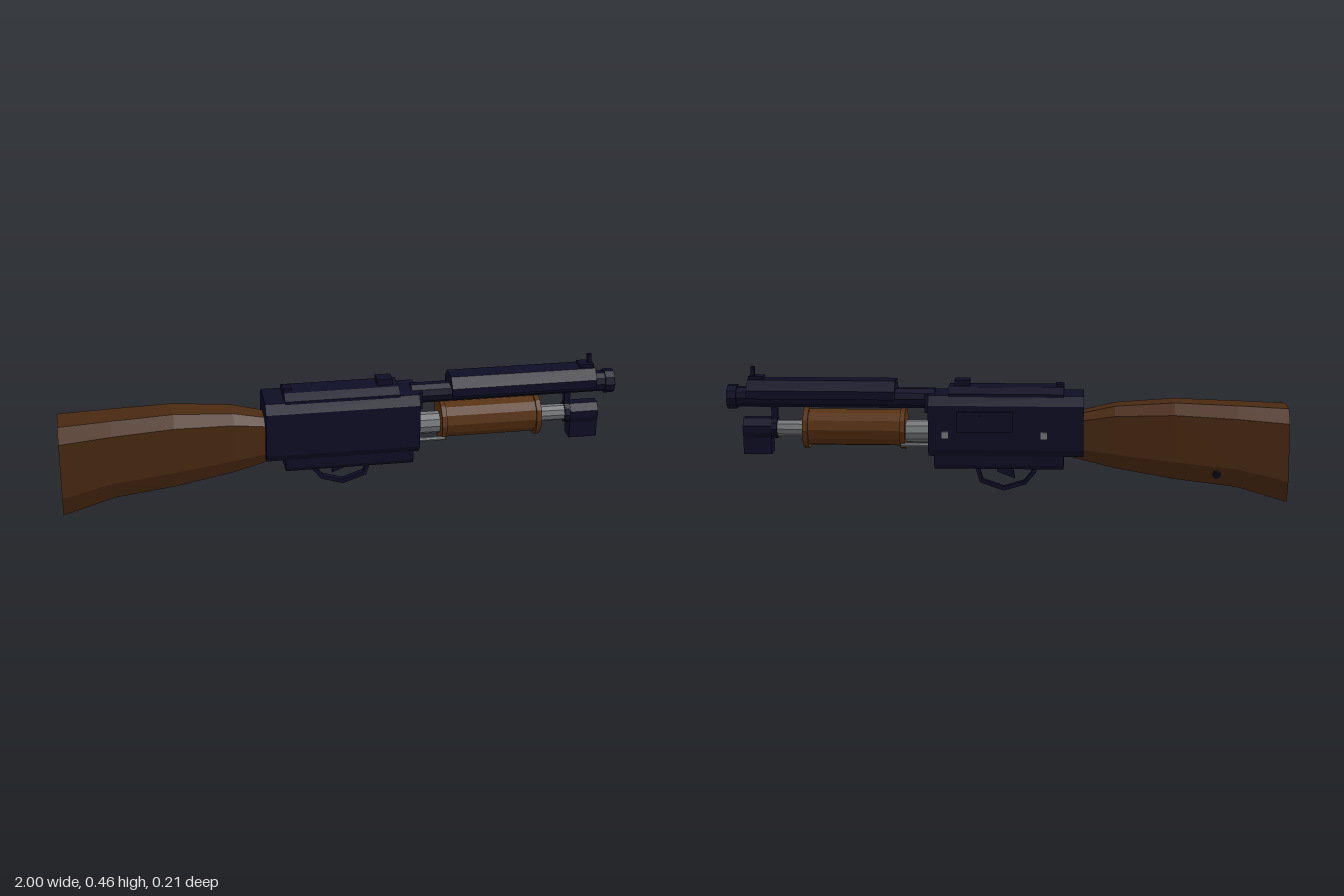
import * as THREE from 'three';

const mat = (name, color) => {
  const m = new THREE.MeshStandardMaterial({ color, flatShading: true });
  m.name = name;
  return m;
};

export function createModel() {
  const group = new THREE.Group();
  const gunmetal = mat('dark gunmetal', 0x0e0e26);
  const walnut = mat('stock wood', 0x4a2a12);
  const pumpWood = mat('pump wood', 0x583212);
  const steel = mat('steel', 0x777a7c);
  const orange = mat('orange tip', 0xf0682c);

  const add = (name, geometry, material) => {
    const mesh = new THREE.Mesh(geometry, material);
    mesh.name = name;
    group.add(mesh);
    return mesh;
  };
  // Box given by its limits on each axis
  const box = (name, m, x0, x1, y0, y1, z0, z1) =>
    add(name, new THREE.BoxGeometry(x1 - x0, y1 - y0, z1 - z0)
      .translate((x0 + x1) / 2, (y0 + y1) / 2, (z0 + z1) / 2), m);
  // Round bar lying along x
  const bar = (name, m, x0, x1, y, r, sides = 10, z = 0) =>
    add(name, new THREE.CylinderGeometry(r, r, x1 - x0, sides)
      .rotateZ(-Math.PI / 2).translate((x0 + x1) / 2, y, z), m);
  // Symmetric prism along x from the half outline [z, y], top to bottom
  const prism = (name, m, x0, x1, half) => {
    const mirrored = half.map(([z, y]) => [-z, y]).reverse();
    const shape = new THREE.Shape([...half, ...mirrored].map(p => new THREE.Vector2(...p)));
    const geo = new THREE.ExtrudeGeometry(shape, { depth: x1 - x0, bevelEnabled: false });
    return add(name, geo.rotateY(Math.PI / 2).translate(x0, 0, 0), m);
  };
  // Loft of rings whose corners run from +y towards +z
  const loft = (rings) => {
    const out = [], n = rings[0].length, last = rings.length - 1;
    const tri = (a, b, c) => out.push(...a, ...b, ...c);
    for (let i = 0; i < last; i++) {
      for (let j = 0; j < n; j++) {
        const k = (j + 1) % n;
        tri(rings[i][j], rings[i][k], rings[i + 1][k]);
        tri(rings[i][j], rings[i + 1][k], rings[i + 1][j]);
      }
    }
    for (let j = 1; j < n - 1; j++) {
      tri(rings[0][0], rings[0][j + 1], rings[0][j]);
      tri(rings[last][0], rings[last][j], rings[last][j + 1]);
    }
    const geo = new THREE.BufferGeometry();
    geo.setAttribute('position', new THREE.Float32BufferAttribute(out, 3));
    geo.computeVertexNormals();
    return geo;
  };

  // Shoulder stock: x, bottom, top, half width
  const sections = [
    [-1, 0, 0.332, 0.105], [-0.82, 0.052, 0.34, 0.098], [-0.6, 0.077, 0.348, 0.089],
    [-0.39, 0.112, 0.333, 0.075], [-0.27, 0.14, 0.305, 0.06], [-0.23, 0.15, 0.295, 0.056],
  ];
  add('stock', loft(sections.map(([x, b, t, w]) => {
    const up = t - (t - b) * 0.14, low = b + (t - b) * 0.24;
    return [[x, t, -0.55 * w], [x, t, 0.55 * w], [x, up, w], [x, low, w],
      [x, b, 0.71 * w], [x, b, -0.71 * w], [x, low, -w], [x, up, -w]];
  })), walnut);
  const stud = add('slingStud', new THREE.CylinderGeometry(0.014, 0.014, 0.012, 8)
    .rotateX(Math.PI / 2), gunmetal);
  stud.position.set(-0.75, 0.1, -0.088);
  stud.rotation.x = -0.4;

  // Receiver
  prism('receiver', gunmetal, -0.28, 0.27,
    [[0.07, 0.372], [0.091, 0.338], [0.091, 0.18], [0.076, 0.155]]);
  prism('receiverTop', gunmetal, -0.21, 0.2,
    [[0.042, 0.398], [0.073, 0.378], [0.073, 0.36]]);
  prism('receiverBase', gunmetal, -0.21, 0.25,
    [[0.075, 0.17], [0.075, 0.122], [0.066, 0.107]]);
  box('barrelCollar', gunmetal, 0.26, 0.285, 0.305, 0.37, -0.05, 0.05);
  box('rearSight', gunmetal, 0.125, 0.18, 0.395, 0.42, -0.025, 0.025);
  box('topCatch', gunmetal, -0.21, -0.18, 0.39, 0.407, -0.02, 0.02);

  // Ejection port and pins on the right side
  box('ejectionPort', gunmetal, -0.03, 0.17, 0.245, 0.318, -0.1, -0.09);
  box('portInset', gunmetal, 0.0, 0.09, 0.258, 0.304, -0.103, -0.095);
  for (const x of [-0.14, 0.21]) box('pin', steel, x - 0.012, x + 0.012, 0.222, 0.246, -0.096, -0.088);

  // Trigger and its guard
  const v = pts => pts.map(p => new THREE.Vector2(...p));
  const guard = new THREE.Shape(v([[-0.112, 0.115], [-0.112, 0.085], [-0.075, 0.04],
    [0.005, 0.015], [0.09, 0.045], [0.112, 0.115]]));
  guard.holes.push(new THREE.Path(v([[-0.097, 0.113], [0.097, 0.113], [0.08, 0.056],
    [0.005, 0.03], [-0.068, 0.052], [-0.097, 0.09]])));
  add('triggerGuard', new THREE.ExtrudeGeometry(guard, { depth: 0.024, bevelEnabled: false })
    .translate(0, 0, -0.012), gunmetal);
  const trigger = new THREE.Shape(v([[-0.025, 0.115], [-0.035, 0.06], [0.03, 0.085], [0.03, 0.115]]));
  add('trigger', new THREE.ExtrudeGeometry(trigger, { depth: 0.016, bevelEnabled: false })
    .translate(0, 0, -0.008), gunmetal);

  // Barrel, muzzle and heat shield
  bar('barrel', gunmetal, 0.25, 0.98, 0.35, 0.037);
  bar('muzzleRing', gunmetal, 0.962, 0.996, 0.35, 0.044);
  bar('muzzleTip', orange, 0.99, 1, 0.35, 0.027);
  prism('heatShield', gunmetal, 0.39, 0.92,
    [[0.035, 0.416], [0.066, 0.382], [0.066, 0.352], [0.056, 0.352], [0.056, 0.378], [0.03, 0.382]]);

  // Front sight
  box('sightBase', gunmetal, 0.865, 0.918, 0.41, 0.427, -0.024, 0.024);
  box('sightPost', gunmetal, 0.898, 0.912, 0.42, 0.459, -0.008, 0.008);

  // Magazine tube with its end cap and barrel bracket
  bar('magazineTube', steel, 0.25, 0.93, 0.237, 0.03);
  bar('magazineSleeve', steel, 0.25, 0.36, 0.23, 0.04);
  prism('magazineCap', gunmetal, 0.838, 0.94,
    [[0.018, 0.275], [0.038, 0.25], [0.038, 0.225], [0.03, 0.205], [0.03, 0.145]]);
  bar('bracketRing', gunmetal, 0.818, 0.84, 0.237, 0.038);
  box('bracket', gunmetal, 0.818, 0.84, 0.25, 0.33, -0.012, 0.012);

  // Pump grip with end rings and action bars
  bar('pumpGrip', pumpWood, 0.37, 0.71, 0.242, 0.066, 12);
  for (const x of [0.355, 0.702]) bar('gripRing', pumpWood, x, x + 0.018, 0.24, 0.076, 12);
  for (const z of [-0.055, 0.055]) bar('actionBar', steel, 0.25, 0.37, 0.19, 0.008, 6, z);

  return group;
}
